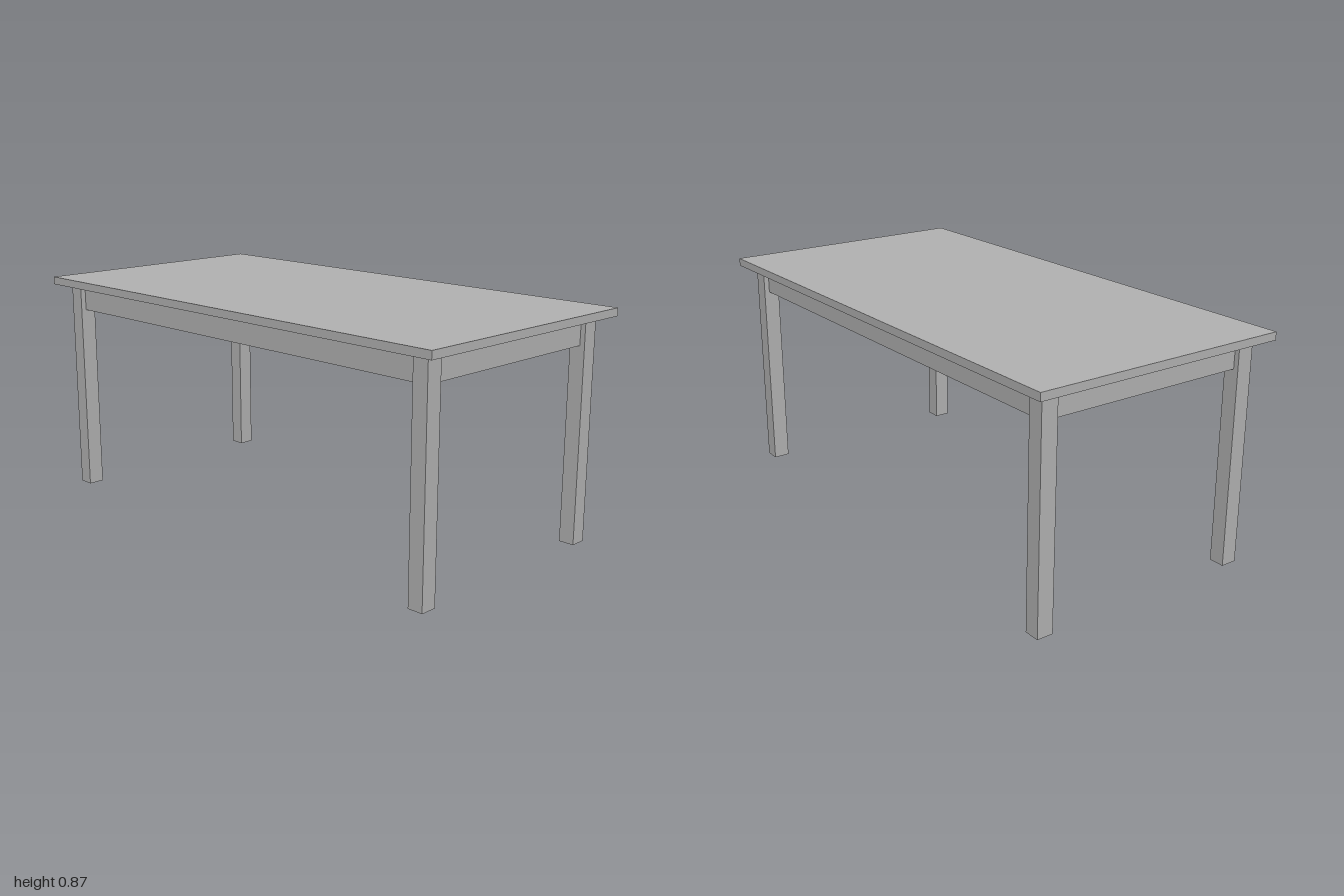
import * as THREE from 'three';

export function createModel() {
  const model = new THREE.Group();
  model.name = 'table';
  const grey = new THREE.MeshStandardMaterial({ color: 0xb2b2b2 });
  grey.name = 'plain grey';

  const addBox = (name, size, position) => {
    const mesh = new THREE.Mesh(new THREE.BoxGeometry(...size), grey);
    mesh.name = name;
    mesh.position.set(...position);
    model.add(mesh);
  };

  const height = 0.87, topThickness = 0.03;
  const underside = height - topThickness;
  const legW = 0.06, legD = 0.063; // leg section
  const legX = 0.915, legZ = 0.423; // leg centres
  const apronH = 0.1, apronT = 0.022;
  const apronY = underside - apronH / 2;

  // Flat top slab
  addBox('tableTop', [2, topThickness, 1.01], [0, height - topThickness / 2, 0]);

  // Four square legs
  for (const [sideX, s] of [['Left', 1], ['Right', -1]]) {
    for (const [sideZ, t] of [['front', 1], ['back', -1]]) {
      addBox(`${sideZ}${sideX}Leg`, [legW, underside, legD], [s * legX, underside / 2, t * legZ]);
    }
  }

  // Aprons running between the legs, set back from their outer faces
  for (const [name, t] of [['frontApron', 1], ['backApron', -1]]) {
    addBox(name, [2 * legX - legW, apronH, apronT], [0, apronY, t * legZ]);
  }
  for (const [name, s] of [['leftApron', 1], ['rightApron', -1]]) {
    addBox(name, [apronT, apronH, 2 * legZ - legD], [s * legX, apronY, 0]);
  }

  return model;
}
